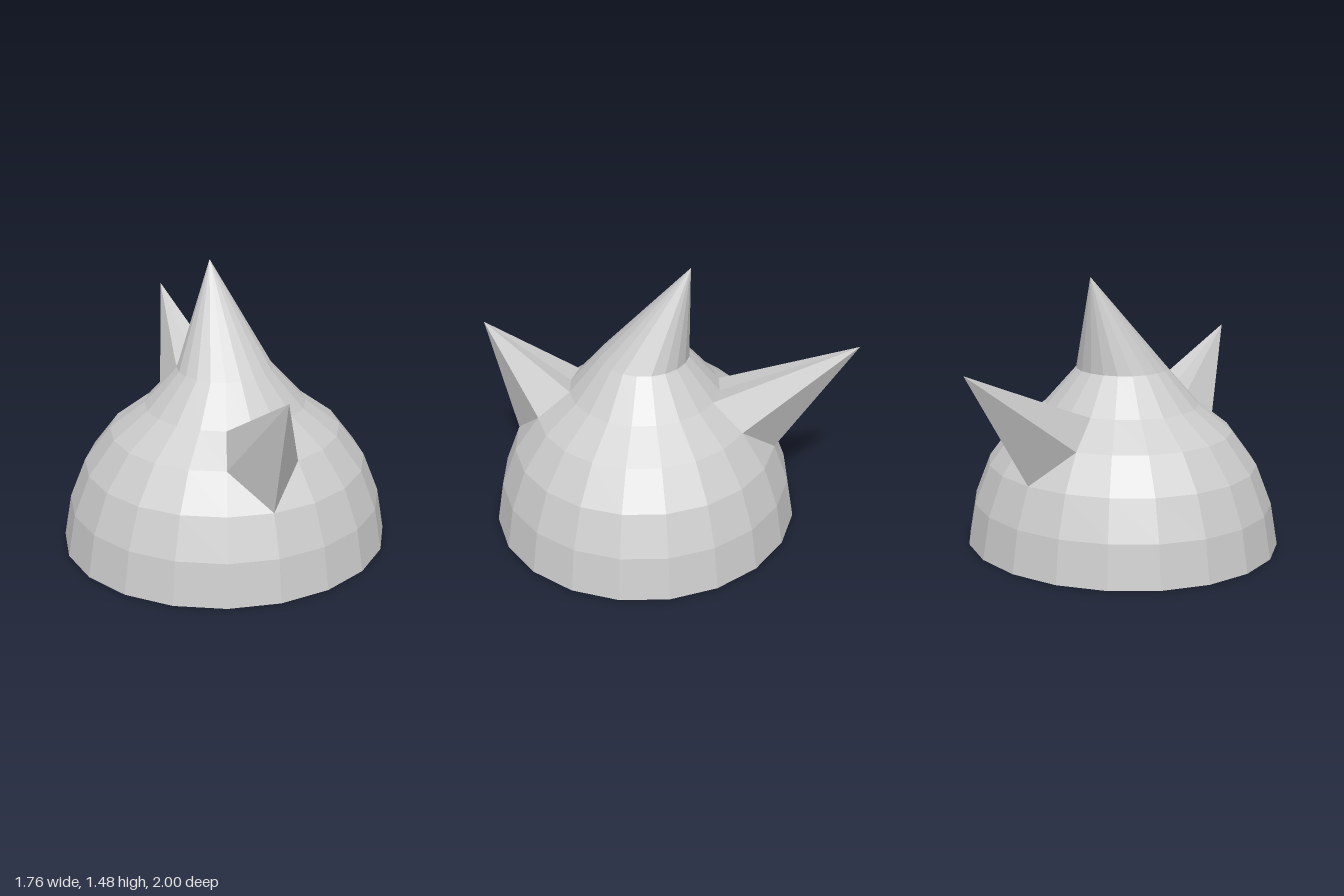
import * as THREE from 'three';

const SEGMENTS = 20;
const CENTER_Z = 0.13;
const DEPTH = 0.943; // front-to-back squash of the round dome

const outer = [[0.88, 0], [0.84, 0.23], [0.755, 0.445], [0.615, 0.63], [0.43, 0.77], [0.255, 0.965], [0, 1.48]];
const inner = [[0, 1.36], [0.2, 0.935], [0.39, 0.73], [0.565, 0.595], [0.7, 0.42], [0.783, 0.22], [0.822, 0]];

function faceted(geometry) {
  const g = geometry.index ? geometry.toNonIndexed() : geometry;
  g.computeVertexNormals();
  return g;
}

// Hollow dome: inner wall, rim and outer wall in one turned profile, tips pulled back
function domeGeometry() {
  const points = [...inner, ...outer].map(([r, y]) => new THREE.Vector2(r, y));
  const g = new THREE.LatheGeometry(points, SEGMENTS);
  const p = g.attributes.position;
  for (let i = 0; i < p.count; i++) {
    const r = Math.hypot(p.getX(i), p.getZ(i));
    if (r < 1e-4) p.setXYZ(i, 0, p.getY(i), p.getY(i) > 1.4 ? -0.115 : -0.08);
    else p.setZ(i, p.getZ(i) * DEPTH + CENTER_Z);
  }
  return faceted(g);
}

// Spike growing from a patch of dome facets; z is measured from the dome axis
function hornGeometry(tipZ) {
  const onDome = (ring, step) => {
    const [r, y] = outer[ring];
    const a = step * Math.PI * 2 / SEGMENTS;
    return [r * Math.sin(a), y, r * Math.cos(a) * DEPTH];
  };
  const base = [onDome(2, 0), onDome(3, 1), onDome(4, 1), onDome(4, 0), onDome(4, -1), onDome(3, -1)];
  const tip = [0, 1.09, tipZ];
  const corners = base.flatMap((c, i) => [...c, ...base[(i + 1) % base.length], ...tip]);
  const g = new THREE.BufferGeometry();
  g.setAttribute('position', new THREE.Float32BufferAttribute(corners, 3));
  return faceted(g);
}

export function createModel() {
  const group = new THREE.Group();
  group.name = 'spikedHelmet';
  const grey = new THREE.MeshStandardMaterial({ color: 0xcccccc });
  grey.name = 'light grey';

  const dome = new THREE.Mesh(domeGeometry(), grey);
  dome.name = 'helmetDome';
  group.add(dome);

  // Front and back horns
  for (const [name, tipZ, turn] of [['frontHorn', 0.87, 0], ['backHorn', 1.13, Math.PI]]) {
    const horn = new THREE.Mesh(hornGeometry(tipZ), grey);
    horn.name = name;
    horn.position.z = CENTER_Z;
    horn.rotation.y = turn;
    group.add(horn);
  }
  return group;
}
